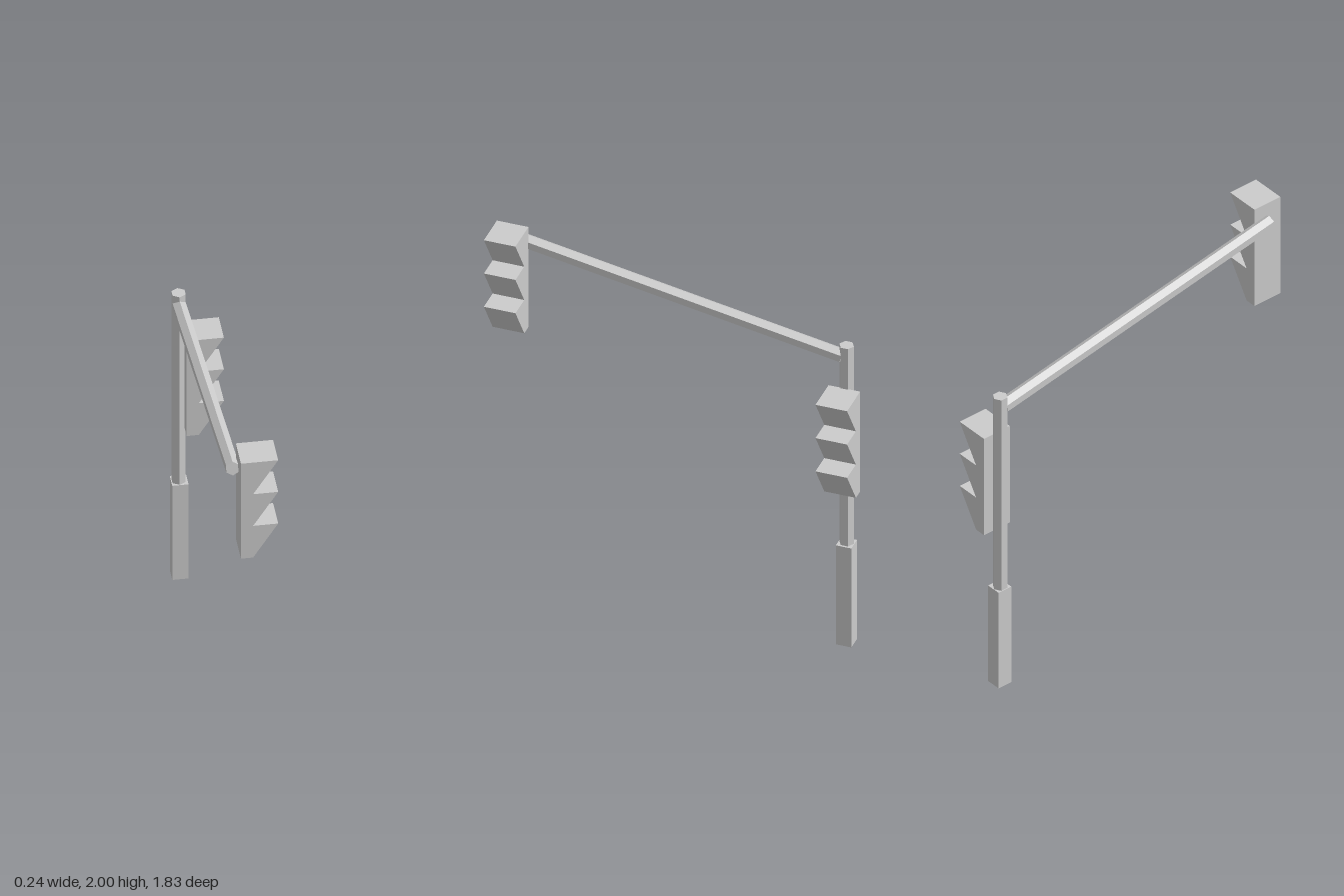
import * as THREE from 'three';

const material = new THREE.MeshStandardMaterial({ color: 0xcccccc, flatShading: true });
const POST_X = -0.084;
const POST_Z = -0.836;

function part(name, geometry) {
  const mesh = new THREE.Mesh(geometry, material);
  mesh.name = name;
  return mesh;
}

// Hexagonal bar between two points in the plane of the post
function hexBar(name, y0, z0, y1, z1) {
  const dy = y1 - y0, dz = z1 - z0;
  const bar = part(name, new THREE.CylinderGeometry(0.0363, 0.0363, Math.hypot(dy, dz), 6));
  bar.rotation.x = Math.atan2(dz, dy);
  bar.position.set(POST_X, (y0 + y1) / 2, (z0 + z1) / 2);
  return bar;
}

// Signal box: flat back and three stacked, sloping visors
function signalHead(name, top, z) {
  const back = -0.058, face = 0, tip = 0.12, pitch = 0.189, depth = 0.159;
  const shape = new THREE.Shape();
  shape.moveTo(back, 0);
  shape.lineTo(back, -3 * pitch);
  shape.lineTo(face, -3 * pitch);
  for (let i = 2; i >= 0; i--) {
    shape.lineTo(tip, -i * pitch);
    if (i > 0) shape.lineTo(face, -i * pitch);
  }
  shape.closePath();
  const geometry = new THREE.ExtrudeGeometry(shape, { depth, bevelEnabled: false });
  geometry.translate(0, 0, -depth / 2);
  const head = part(name, geometry);
  head.position.set(0, top, z);
  return head;
}

export function createModel() {
  const model = new THREE.Group();
  model.name = 'trafficLight';

  // Square base
  const base = part('base', new THREE.BoxGeometry(0.078, 0.562, 0.078));
  base.position.set(-0.081, 0.281, POST_Z);
  model.add(base);

  // Upright post and sloping arm
  model.add(hexBar('post', 0.55, POST_Z, 1.682, POST_Z));
  model.add(hexBar('arm', 1.617, -0.815, 1.91, 0.83));

  // Signals at the arm's end and on the post
  model.add(signalHead('armSignal', 2.0, 0.834));
  model.add(signalHead('postSignal', 1.452, -0.834));

  return model;
}
